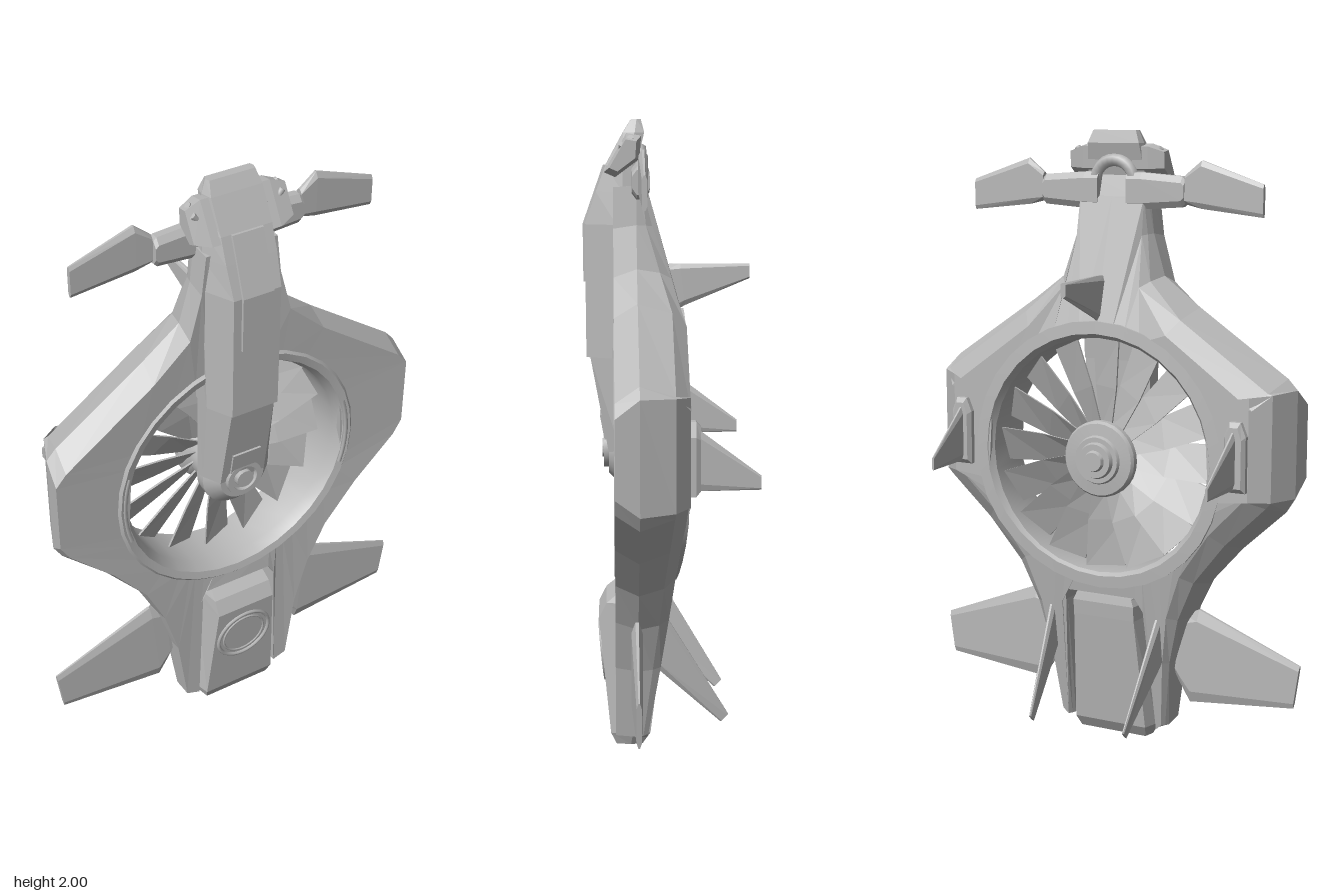
import * as THREE from 'three';
import { toCreasedNormals } from 'three/addons/utils/BufferGeometryUtils.js';

const V = (x, y, z) => new THREE.Vector3(x, y, z);
const CY = 0.97; // height of the fan axis

export function createModel() {
  const model = new THREE.Group();
  model.name = 'fanDrone';
  const grey = new THREE.MeshStandardMaterial({ color: 0xb8b8b8 });
  grey.name = 'hull grey';

  const add = (name, geometry, x = 0, y = 0, z = 0) => {
    const mesh = new THREE.Mesh(geometry, grey);
    mesh.name = name;
    mesh.position.set(x, y, z);
    model.add(mesh);
    return mesh;
  };

  // flat-shaded skin through matching loops of points, capped or closed on itself
  function loft(loops, closed = false) {
    const tris = [], n = loops[0].length;
    const last = closed ? loops.length : loops.length - 1;
    for (let r = 0; r < last; r++) {
      const p = loops[r], q = loops[(r + 1) % loops.length];
      for (let i = 0; i < n; i++) {
        const j = (i + 1) % n;
        tris.push([p[i], p[j], q[j]], [p[i], q[j], q[i]]);
      }
    }
    if (!closed) {
      const a = loops[0], b = loops[loops.length - 1];
      for (let i = 1; i < n - 1; i++) tris.push([a[0], a[i + 1], a[i]], [b[0], b[i], b[i + 1]]);
    }
    // turn the faces outwards whatever the order of the loops
    let volume = 0;
    for (const [a, b, c] of tris) volume += a.dot(b.clone().cross(c));
    if (volume < 0) tris.forEach(t => t.reverse());
    const g = new THREE.BufferGeometry().setFromPoints(tris.flat());
    g.computeVertexNormals();
    return g;
  }

  // six-sided body stacked along y: [y, zBack, zFront, backHalf, midHalf, frontHalf]
  const body = rows => loft(rows.map(([y, zb, zf, wb, w, wf]) => {
    const zm = zb + (zf - zb) * 0.45;
    return [V(wb, y, zb), V(w, y, zm), V(wf, y, zf), V(-wf, y, zf), V(-w, y, zm), V(-wb, y, zb)];
  }));

  // thin aerofoil through chords [A, B, halfThickness], thickened along an axis
  const foil = (chords, axis) => loft(chords.map(([A, B, t]) => {
    const p = A.clone().lerp(B, 0.12), q = A.clone().lerp(B, 0.88), d = axis.clone().multiplyScalar(t);
    const e = d.clone().multiplyScalar(0.3);
    return [A.clone().add(e), p.clone().add(d), q.clone().add(d), B.clone().add(e),
      B.clone().sub(e), q.clone().sub(d), p.clone().sub(d), A.clone().sub(e)];
  }));

  // ring or disc turned about the fan axis; profile is [radius, z], counterclockwise
  const turned = (profile, segments) => {
    const g = new THREE.LatheGeometry(profile.map(p => new THREE.Vector2(p[0], p[1])), segments);
    return toCreasedNormals(g.rotateX(Math.PI / 2), 0.5);
  };

  // hull: half outline [x, y, angle on the fan opening, bevel strength]
  const half = [
    [0, 1.8, 0, 0.1], [0.12, 1.8, 8, 0.1], [0.135, 1.68, 14, 0.2], [0.175, 1.55, 22, 0.5],
    [0.3, 1.46, 35, 0.9], [0.6, 1.255, 60, 1], [0.635, 1.215, 68, 1], [0.635, 0.87, 105, 1],
    [0.605, 0.82, 112, 1], [0.46, 0.685, 125, 0.9], [0.345, 0.555, 138, 0.7], [0.28, 0.43, 148, 0.5],
    [0.232, 0.28, 154, 0.25], [0.2, 0.05, 157, 0.15], [0.152, 0.035, 158, 0.12],
    [0.143, 0.46, 162, 0.05], [0.12, 0.5, 168, 0.05], [0, 0.5, 180, 0.05]];
  const outline = [...half, ...half.slice(1, -1).reverse().map(([x, y, a, k]) => [-x, y, -a, k])];
  const backLine = [[0.04, 0.07], [0.45, 0], [0.7, -0.035], [0.85, -0.05], [1.46, -0.05], [1.56, 0], [1.7, 0.06], [1.9, 0.075]];
  const backZ = y => {
    let i = 1;
    while (i < backLine.length - 1 && y > backLine[i][0]) i++;
    const [y0, z0] = backLine[i - 1], [y1, z1] = backLine[i];
    return THREE.MathUtils.mapLinear(y, y0, y1, z0, z1);
  };
  const inset = (i, d) => {
    const n = outline.length, a = outline[(i + n - 1) % n], b = outline[(i + 1) % n];
    const dir = new THREE.Vector2(b[0] - a[0], b[1] - a[1]).normalize();
    const k = outline[i][3] * d;
    return [outline[i][0] + dir.y * k, outline[i][1] - dir.x * k];
  };
  const rim = z => outline.map(([, , a]) => {
    const t = THREE.MathUtils.degToRad(a), y = CY + 0.41 * Math.cos(t);
    return V(0.41 * Math.sin(t), y, z ?? backZ(y));
  });
  const edge = (d, zOf) => outline.map((o, i) => {
    const [x, y] = inset(i, d);
    return V(x, y, zOf(o[1]));
  });
  // the front face keeps its full width; only its sloping flanks are bevelled
  const front = outline.map(([x, y, , k]) => V(x, y - Math.sign(y - CY) * 0.055 * k, 0.172));
  add('hull', loft([
    rim(0.165), front, edge(0.008, y => Math.max(0.1, backZ(y) + 0.03)),
    edge(0.05, y => backZ(y) + (0.13 - backZ(y)) * 0.25), edge(0.11, backZ), rim()], true));

  // fan duct, its back lip following the slope of the hull
  const duct = turned([[0.385, -0.03], [0.4, -0.053], [0.44, -0.05], [0.44, 0.16], [0.425, 0.174],
    [0.4, 0.168], [0.382, 0.13], [0.385, -0.03]], 32);
  const pos = duct.attributes.position;
  for (let i = 0; i < pos.count; i++) pos.setZ(i, Math.max(pos.getZ(i), backZ(pos.getY(i) + CY) - 0.006));
  add('fanDuct', duct, 0, CY, 0);
  for (const s of [0, Math.PI]) {
    const arc = new THREE.TorusGeometry(0.41, 0.01, 6, 8, 0.62).rotateZ(s - 0.31);
    add('ductArc', arc, 0, CY, 0.165);
  }

  // fan: sixteen broad twisted blades
  const bladeLoop = (r, w, pitch) => {
    const c = Math.cos(pitch) * w / 2, s = Math.sin(pitch) * w / 2, t = 0.004;
    return [V(r, c, -s + t), V(r, -c, s + t), V(r, -c, s - t), V(r, c, -s - t)];
  };
  const blade = loft([bladeLoop(0.08, 0.075, 0.65), bladeLoop(0.22, 0.115, 0.5), bladeLoop(0.375, 0.128, 0.42)]);
  for (let i = 0; i < 16; i++) add('fanBlade', blade, 0, CY, 0.03).rotation.z = i * Math.PI / 8;

  // hub: flat stepped disc at the back, bearing cap at the front
  add('fanHub', turned([[0, -0.07], [0.03, -0.07], [0.035, -0.058], [0.055, -0.058], [0.06, -0.044],
    [0.075, -0.044], [0.08, -0.034], [0.118, -0.03], [0.125, -0.02], [0.125, 0], [0.1, 0.03], [0.1, 0.14], [0, 0.14]], 28), 0, 0.96, 0);
  add('armEnd', turned([[0, 0.11], [0.12, 0.11], [0.122, 0.15], [0.08, 0.19], [0, 0.19]], 24), 0, 0.96, 0);
  add('bearingRing', turned([[0.045, 0.18], [0.062, 0.18], [0.062, 0.206], [0.045, 0.206], [0.045, 0.18]], 24), 0, 0.96, 0);
  add('bearingCap', turned([[0, 0.18], [0.03, 0.18], [0.03, 0.21], [0, 0.21]], 20), 0, 0.96, 0);

  // spine running from the head down over the fan
  add('spine', body([
    [1.265, 0.11, 0.258, 0.12, 0.122, 0.08], [1.68, 0.08, 0.26, 0.12, 0.128, 0.08],
    [1.78, 0.075, 0.225, 0.11, 0.12, 0.085], [1.86, 0.1, 0.195, 0.1, 0.11, 0.085],
    [1.96, 0.075, 0.14, 0.09, 0.095, 0.085], [2, 0.085, 0.115, 0.075, 0.08, 0.075]]));
  add('fanArm', body([
    [0.96, 0.115, 0.19, 0.12, 0.12, 0.08], [1.265, 0.11, 0.246, 0.116, 0.118, 0.075]]));
  add('spinePanel', body([
    [1.5, 0.24, 0.266, 0.055, 0.055, 0.052], [1.68, 0.24, 0.267, 0.055, 0.055, 0.052],
    [1.86, 0.17, 0.203, 0.055, 0.055, 0.052]]));
  add('hubPlate', new THREE.BoxGeometry(0.1, 0.08, 0.009), 0, 1.035, 0.206).rotation.x = -0.18 * -1;

  // arch behind the head, joining the two halves of the crossbar
  add('headArch', new THREE.TorusGeometry(0.068, 0.02, 6, 12, Math.PI), 0, 1.84, 0.085);
  for (const s of [-1, 1]) {
    add('crossbar', loft([[0.05, 1.755, 1.87], [0.1, 1.755, 1.87], [0.24, 1.765, 1.86], [0.25, 1.775, 1.85]].map(([x, y0, y1]) =>
      [V(s * x, y0, 0.075), V(s * x, y0, 0.1), V(s * x, y0 + 0.02, 0.115), V(s * x, y1 - 0.02, 0.115),
        V(s * x, y1, 0.1), V(s * x, y1, 0.075), V(s * x, y1 - 0.02, 0.062), V(s * x, y0 + 0.02, 0.062)])));
    // slanted sensor cheek with two lenses
    const cheek = [[1.84, 0.2], [1.825, 0.165], [1.88, 0.09], [1.95, 0.085], [1.958, 0.13]];
    add('sensorCheek', loft([[0.06, 1], [0.115, 1], [0.166, 0.72]].map(([x, f]) =>
      cheek.map(([y, z]) => V(s * x, 1.89 + (y - 1.89) * f, 0.14 + (z - 0.14) * f)))));
    for (const [y, z] of [[1.938, 0.118], [1.918, 0.145]]) {
      add('sensorLens', new THREE.CylinderGeometry(0.01, 0.01, 0.02, 12), s * 0.143, y, z).rotation.z = -s * 0.7;
    }
    // canard winglets
    add('canard', foil([
      [V(s * 0.25, 1.775, 0.083), V(s * 0.25, 1.865, 0.083), 0.014],
      [V(s * 0.305, 1.762, 0.083), V(s * 0.305, 1.91, 0.083), 0.014],
      [V(s * 0.51, 1.74, 0.083), V(s * 0.51, 1.84, 0.083), 0.008]], V(0, 0, 1)));
    // tail wings
    add('tailWing', foil([
      [V(s * 0.2, 0.28, 0.105), V(s * 0.21, 0.36, 0.105), 0.016],
      [V(s * 0.235, 0.21, 0.105), V(s * 0.25, 0.44, 0.105), 0.018],
      [V(s * 0.275, 0.145, 0.105), V(s * 0.305, 0.465, 0.105), 0.018],
      [V(s * 0.635, 0.18, 0.105), V(s * 0.655, 0.325, 0.105), 0.008]], V(0, 0, 1)));
    // slanted fins behind the tail legs
    add('tailFin', foil([
      [V(s * 0.195, 0.28, 0.04), V(s * 0.195, 0.45, 0.01), 0.012],
      [V(s * 0.17, 0.09, -0.165), V(s * 0.17, 0.115, -0.19), 0.004]], V(1, 0, 0)));
    // rear side fins on their feet
    add('sideFinFoot', loft([[-0.03, 0.036, 0.11], [-0.066, 0.036, 0.11], [-0.08, 0.026, 0.095]].map(([z, w, h]) =>
      [[-w, 0.6 * h], [-0.5 * w, h], [0.5 * w, h], [w, 0.6 * h], [w, -h], [-w, -h]].map(([x, y]) =>
        V(s * (0.488 + x), 1.02 + y, z)))));
    add('sideFin', foil([
      [V(s * 0.486, 0.92, -0.06), V(s * 0.486, 1.115, -0.06), 0.01],
      [V(s * 0.48, 0.922, -0.26), V(s * 0.48, 0.965, -0.26), 0.004]], V(1, 0, 0)));
  }
  add('topFin', foil([
    [V(0, 1.4, -0.02), V(0, 1.55, 0.01), 0.011], [V(0, 1.42, -0.055), V(0, 1.552, -0.04), 0.011],
    [V(0, 1.505, -0.26), V(0, 1.55, -0.26), 0.009]], V(1, 0, 0)));

  // tail pod between the legs, with a round hatch
  add('tailPod', body([
    [0, 0.085, 0.17, 0.12, 0.13, 0.12], [0.04, 0.06, 0.188, 0.13, 0.148, 0.13],
    [0.42, 0.01, 0.225, 0.11, 0.122, 0.105], [0.47, 0.005, 0.2, 0.11, 0.122, 0.105],
    [0.495, 0.01, 0.17, 0.1, 0.115, 0.1]]));
  add('hatchRing', new THREE.TorusGeometry(0.098, 0.007, 6, 32), 0, 0.285, 0.212).rotation.x = 0.097;
  add('hatchInnerRing', new THREE.TorusGeometry(0.078, 0.004, 6, 28), 0, 0.285, 0.212).rotation.x = 0.097;

  return model;
}
